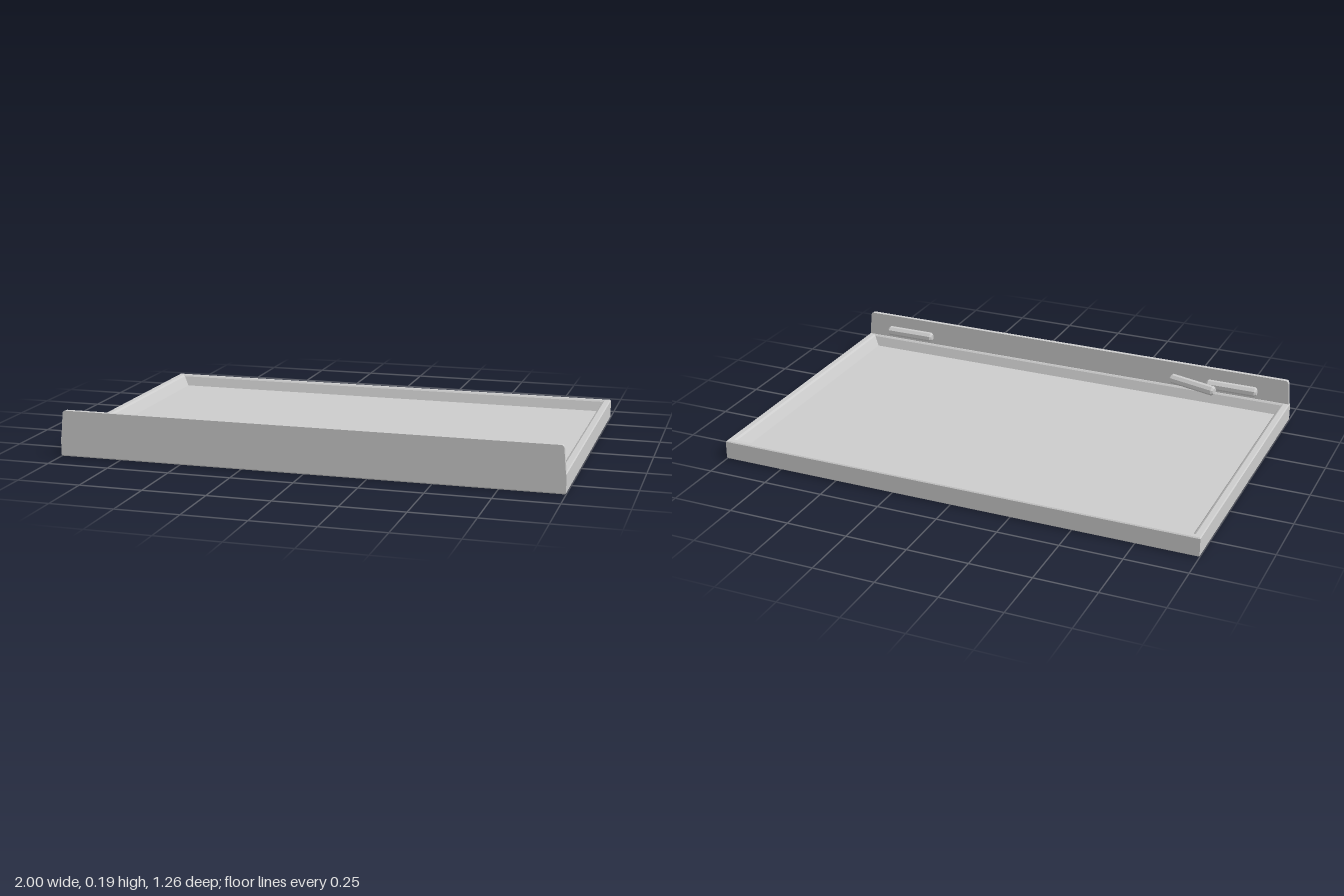
import * as THREE from 'three';

const material = new THREE.MeshStandardMaterial({ color: 0xcccccc, flatShading: true });

function add(group, geometry, name) {
  const mesh = new THREE.Mesh(geometry, material);
  mesh.name = name;
  group.add(mesh);
  return mesh;
}

// Skin over a stack of rectangular rings [halfX, y, halfZ], capped at both ends
function rectangularShell(rings) {
  const corner = ([x, y, z], i) => [[x, y, z], [x, y, -z], [-x, y, -z], [-x, y, z]][i % 4];
  const positions = [];
  const quad = (a, b, c, d) => positions.push(...a, ...b, ...c, ...a, ...c, ...d);
  for (let r = 0; r < rings.length - 1; r++) {
    for (let i = 0; i < 4; i++) {
      quad(corner(rings[r], i), corner(rings[r], i + 1), corner(rings[r + 1], i + 1), corner(rings[r + 1], i));
    }
  }
  const first = rings[0], last = rings[rings.length - 1];
  quad(corner(first, 3), corner(first, 2), corner(first, 1), corner(first, 0));
  quad(corner(last, 0), corner(last, 1), corner(last, 2), corner(last, 3));
  const geometry = new THREE.BufferGeometry();
  geometry.setAttribute('position', new THREE.Float32BufferAttribute(positions, 3));
  geometry.computeVertexNormals();
  return geometry;
}

// Eight-sided stick along x with chamfered ends
function stickGeometry(length, radius) {
  const h = length / 2, c = 0.008;
  const profile = [[0, -h], [radius - c, -h], [radius, -h + c], [radius, h - c], [radius - c, h], [0, h]]
    .map(([x, y]) => new THREE.Vector2(x, y));
  return new THREE.LatheGeometry(profile, 8).rotateY(Math.PI / 8).rotateZ(Math.PI / 2);
}

export function createModel() {
  const model = new THREE.Group();
  model.name = 'boardWithLedge';

  // Shallow panel: outer wall, narrow rim, sloped inner bevel and recessed floor
  add(model, rectangularShell([
    [0.995, 0, 0.625],
    [1, 0.005, 0.63],
    [1, 0.076, 0.63],
    [0.996, 0.08, 0.626],
    [0.975, 0.08, 0.607],
    [0.967, 0.074, 0.601],
    [0.945, 0.035, 0.587],
  ]), 'panel');

  // Upright lip along the front, narrowing slightly to rounded top corners
  const base = 0.998, top = 0.988, y0 = 0.074, y1 = 0.185, r = 0.012;
  const lip = new THREE.Shape();
  lip.moveTo(-base, y0);
  lip.lineTo(base, y0);
  lip.lineTo(top + 0.001, y1 - r);
  lip.quadraticCurveTo(top, y1, top - r, y1);
  lip.lineTo(-top + r, y1);
  lip.quadraticCurveTo(-top, y1, -top - 0.001, y1 - r);
  lip.closePath();
  const lipGeometry = new THREE.ExtrudeGeometry(lip, { depth: 0.018, bevelEnabled: false, curveSegments: 4 });
  add(model, lipGeometry.translate(0, 0, 0.612), 'frontLip');

  // Chalk sticks beside the lip: x, z, yaw
  const sticks = [[-0.752, 0.587, 0], [-0.588, 0.556, -0.28], [0.775, 0.587, 0]];
  sticks.forEach(([x, z, yaw], i) => {
    const stick = add(model, stickGeometry(0.222, 0.021), `chalk${i + 1}`);
    stick.position.set(x, 0.122, z);
    stick.rotation.y = yaw;
  });

  return model;
}
